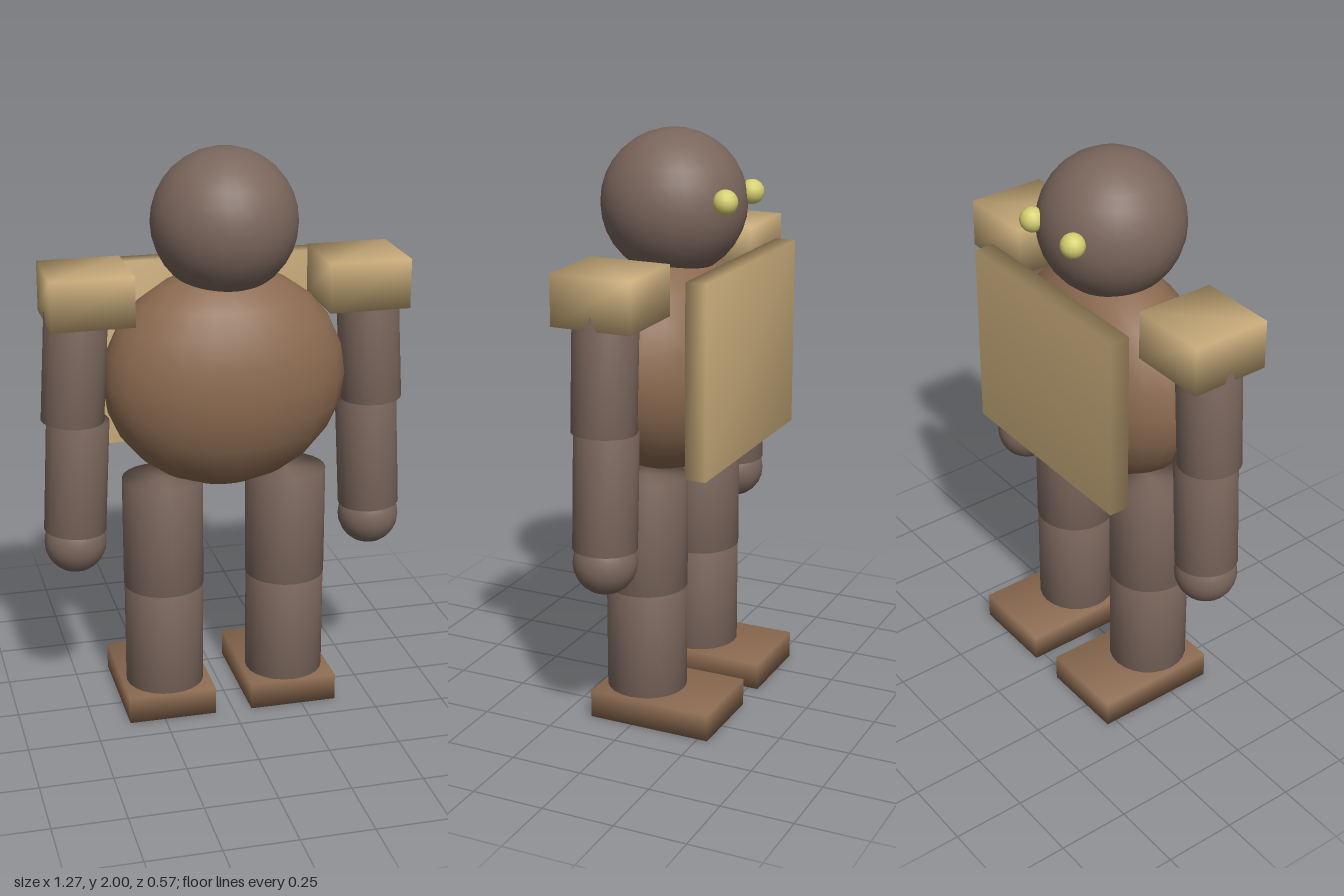
import * as THREE from 'three';
import { mergeVertices } from 'three/addons/utils/BufferGeometryUtils.js';

const mat = (name, color) => Object.assign(new THREE.MeshStandardMaterial({ color }), { name });

// Weld shared corners so shading flows softly over the edges
function soften(geo) {
  geo.deleteAttribute('normal');
  geo.deleteAttribute('uv');
  const welded = mergeVertices(geo, 1e-4);
  welded.computeVertexNormals();
  return welded;
}

export function createModel() {
  const model = new THREE.Group();
  model.name = 'golem';

  const stone = mat('greyBrown', 0x7a665c);
  const clay = mat('clayBrown', 0x8b6a50);
  const tan = mat('tan', 0xc8ab7a);
  const glow = mat('paleYellow', 0xd4cf70);

  const add = (name, geo, material, x, y, z) => {
    const mesh = new THREE.Mesh(geo, material);
    mesh.name = name;
    mesh.position.set(x, y, z);
    model.add(mesh);
    return mesh;
  };
  const box = (w, h, d) => soften(new THREE.BoxGeometry(w, h, d));
  const ball = (r, n = 32) => new THREE.SphereGeometry(r, n, n / 2);
  const Z = 0.012; // depth of the body axis

  // Limb segment running between two points in the XY plane
  const limb = (name, r, x0, y0, x1, y1) => {
    const length = Math.hypot(x1 - x0, y1 - y0);
    const geo = soften(new THREE.CylinderGeometry(r, r, length, 24));
    const mesh = add(name, geo, stone, (x0 + x1) / 2, (y0 + y1) / 2, Z);
    mesh.rotation.z = Math.atan2(x1 - x0, y0 - y1);
  };

  // Head, torso and the chest plate on the -z side
  add('head', ball(0.247), stone, 0, 1.753, Z);
  add('torso', ball(1, 24), clay, 0, 1.217, Z).scale.set(0.42, 0.385, 0.272);
  add('plate', box(0.75, 0.655, 0.072), tan, 0, 1.25, -0.239);

  for (const [side, s] of [['left', 1], ['right', -1]]) {
    // Eyes
    add(side + 'Eye', ball(0.042, 16), glow, s * 0.11, 1.787, -0.222);

    // Shoulder, arm and hand
    add(side + 'Shoulder', box(0.28, 0.17, 0.28), tan, s * 0.47, 1.535, Z);
    limb(side + 'UpperArm', 0.107, s * 0.503, 1.495, s * 0.526, 1.1);
    limb(side + 'Forearm', 0.107, s * 0.508, 1.1, s * 0.528, 0.705);
    add(side + 'Hand', ball(0.107, 24), stone, s * 0.528, 0.657, Z);

    // Leg and foot
    limb(side + 'Thigh', 0.14, s * 0.22, 0.863, s * 0.22, 0.47);
    limb(side + 'Shin', 0.138, s * 0.22, 0.47, s * 0.22, 0.09);
    add(side + 'Foot', box(0.31, 0.096, 0.44), clay, s * 0.22, 0.048, -0.066);
  }
  return model;
}
